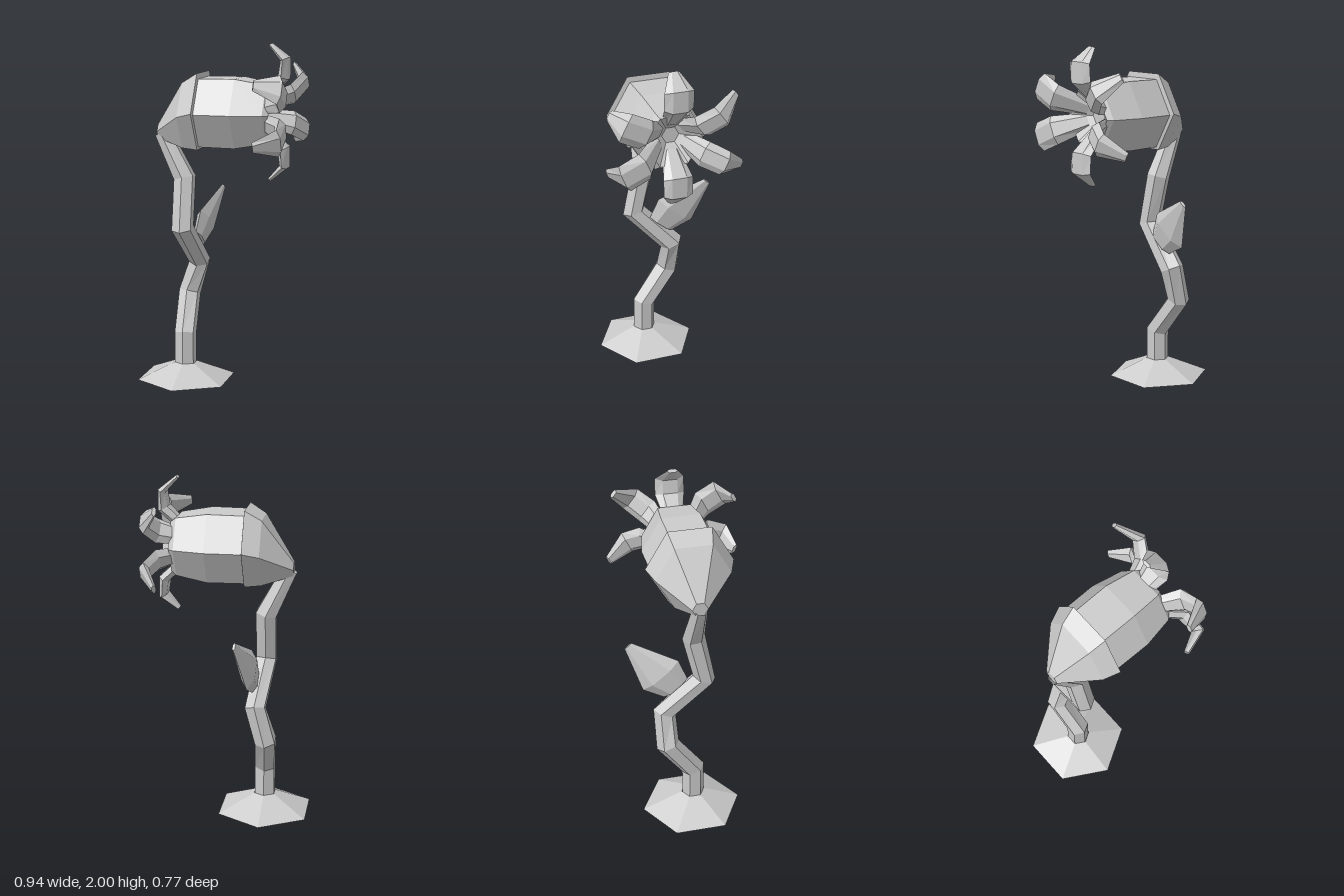
import * as THREE from 'three';

const V = (x, y, z) => new THREE.Vector3(x, y, z);
const material = new THREE.MeshStandardMaterial({ color: 0xcccccc, flatShading: true, side: THREE.DoubleSide });

// Joins hexagonal sections { c, u, v } into one faceted skin; u and v are the half-axes.
function loft(name, sections, capStart, capEnd) {
  const pos = [];
  const tri = (...pts) => pts.forEach((p) => pos.push(p.x, p.y, p.z));
  const rings = sections.map(({ c, u, v }) => Array.from({ length: 6 }, (_, k) => {
    const a = (k * Math.PI) / 3;
    return c.clone().addScaledVector(u, Math.cos(a)).addScaledVector(v, Math.sin(a));
  }));
  for (let i = 0; i + 1 < rings.length; i++) {
    for (let k = 0; k < 6; k++) {
      const n = (k + 1) % 6, a = rings[i], b = rings[i + 1];
      tri(a[k], a[n], b[n]);
      tri(a[k], b[n], b[k]);
    }
  }
  const last = rings.length - 1;
  for (let k = 0; k < 6; k++) {
    const n = (k + 1) % 6;
    if (capStart) tri(sections[0].c, rings[0][n], rings[0][k]);
    if (capEnd) tri(sections[last].c, rings[last][k], rings[last][n]);
  }
  const geometry = new THREE.BufferGeometry();
  geometry.setAttribute('position', new THREE.Float32BufferAttribute(pos, 3));
  geometry.computeVertexNormals();
  const mesh = new THREE.Mesh(geometry, material);
  mesh.name = name;
  return mesh;
}

// Average direction of a path at point i
function tangent(path, i) {
  const t = V(0, 0, 0);
  if (i > 0) t.add(path[i].clone().sub(path[i - 1]).normalize());
  if (i + 1 < path.length) t.add(path[i + 1].clone().sub(path[i]).normalize());
  return t.normalize();
}

// Hexagonal section lying across the x axis
const crossX = (x, y, z, r) => ({ c: V(x, y, z), u: V(0, 0, r), v: V(0, -r, 0) });
// Hexagonal section lying flat
const flat = (x, y, z, r) => ({ c: V(x, y, z), u: V(0, 0, r), v: V(r, 0, 0) });

// Petal: path of [x, distance from the head axis, half width, half thickness]
function petal(degrees, stations) {
  const a = THREE.MathUtils.degToRad(degrees);
  const u = V(0, Math.cos(a), -Math.sin(a));
  const path = stations.map(([x, r]) => V(x, 1.61 + r * Math.sin(a), r * Math.cos(a)));
  return loft('petal', path.map((c, i) => ({
    c,
    u: u.clone().multiplyScalar(stations[i][2]),
    v: tangent(path, i).cross(u).normalize().multiplyScalar(stations[i][3]),
  })), true, true);
}

export function createModel() {
  const group = new THREE.Group();

  // Spreading foot, open underneath
  group.add(loft('base', [flat(-0.219, 0, -0.01, 0.297), flat(-0.219, 0.097, 0, 0.068)]));

  // Zigzag stem with mitred bends
  const stemPath = [
    V(-0.22, 0.06, 0), V(-0.22, 0.275, 0), V(-0.24, 0.49, -0.157), V(-0.18, 0.69, -0.162),
    V(-0.215, 0.925, 0.065), V(-0.22, 1.215, 0), V(-0.352, 1.48, 0.005),
  ];
  group.add(loft('stem', stemPath.map((c, i) => {
    const t = tangent(stemPath, i);
    const r = i === stemPath.length - 1 ? 0.045 : 0.066;
    return { c, u: V(0, -t.z / t.y, 1).multiplyScalar(r), v: V(1, -t.x / t.y, 0).multiplyScalar(r) };
  })));

  // Broad leaf
  const leafPath = [V(-0.16, 0.835, -0.09), V(-0.145, 0.925, -0.175), V(-0.083, 1.115, -0.35)];
  const leafSide = V(0, -0.63, -0.78);
  const leafSize = [[0.088, 0.03], [0.135, 0.045], [0.026, 0.01]];
  group.add(loft('leaf', leafPath.map((c, i) => ({
    c,
    u: leafSide.clone().multiplyScalar(leafSize[i][0]),
    v: tangent(leafPath, i).cross(leafSide).normalize().multiplyScalar(leafSize[i][1]),
  })), true, true));

  // Flared green cup behind the head, with a rim folding inward
  group.add(loft('calyx', [
    crossX(-0.375, 1.485, 0, 0.045), crossX(-0.2, 1.59, 0.005, 0.215),
    crossX(-0.105, 1.615, 0.005, 0.252), crossX(-0.1, 1.607, 0.005, 0.22),
  ], true, false));

  // Head with a funnel-shaped mouth
  group.add(loft('head', [
    crossX(-0.12, 1.607, 0.005, 0.224), crossX(0.11, 1.607, 0.005, 0.227),
    crossX(0.29, 1.607, 0.008, 0.192), crossX(0.32, 1.607, 0.005, 0.165),
    crossX(0.24, 1.61, 0, 0.05),
  ], true, true));

  // Six curled petals, the side pairs longer than the top and bottom ones
  const upright = [[0.25, 0.09, 0.05, 0.03], [0.372, 0.205, 0.085, 0.034], [0.378, 0.305, 0.085, 0.026], [0.292, 0.385, 0.032, 0.012]];
  const leftSide = [[0.25, 0.09, 0.05, 0.03], [0.4, 0.22, 0.085, 0.036], [0.41, 0.345, 0.085, 0.028], [0.28, 0.4, 0.032, 0.014]];
  const rightSide = [[0.25, 0.09, 0.05, 0.03], [0.39, 0.16, 0.075, 0.036], [0.44, 0.27, 0.072, 0.032], [0.36, 0.41, 0.03, 0.014]];
  const petals = new THREE.Group();
  petals.name = 'petals';
  petals.add(petal(90, upright), petal(-90, upright));
  petals.add(petal(27, leftSide), petal(-23, leftSide));
  petals.add(petal(143, rightSide), petal(-154, rightSide));
  group.add(petals);

  return group;
}
